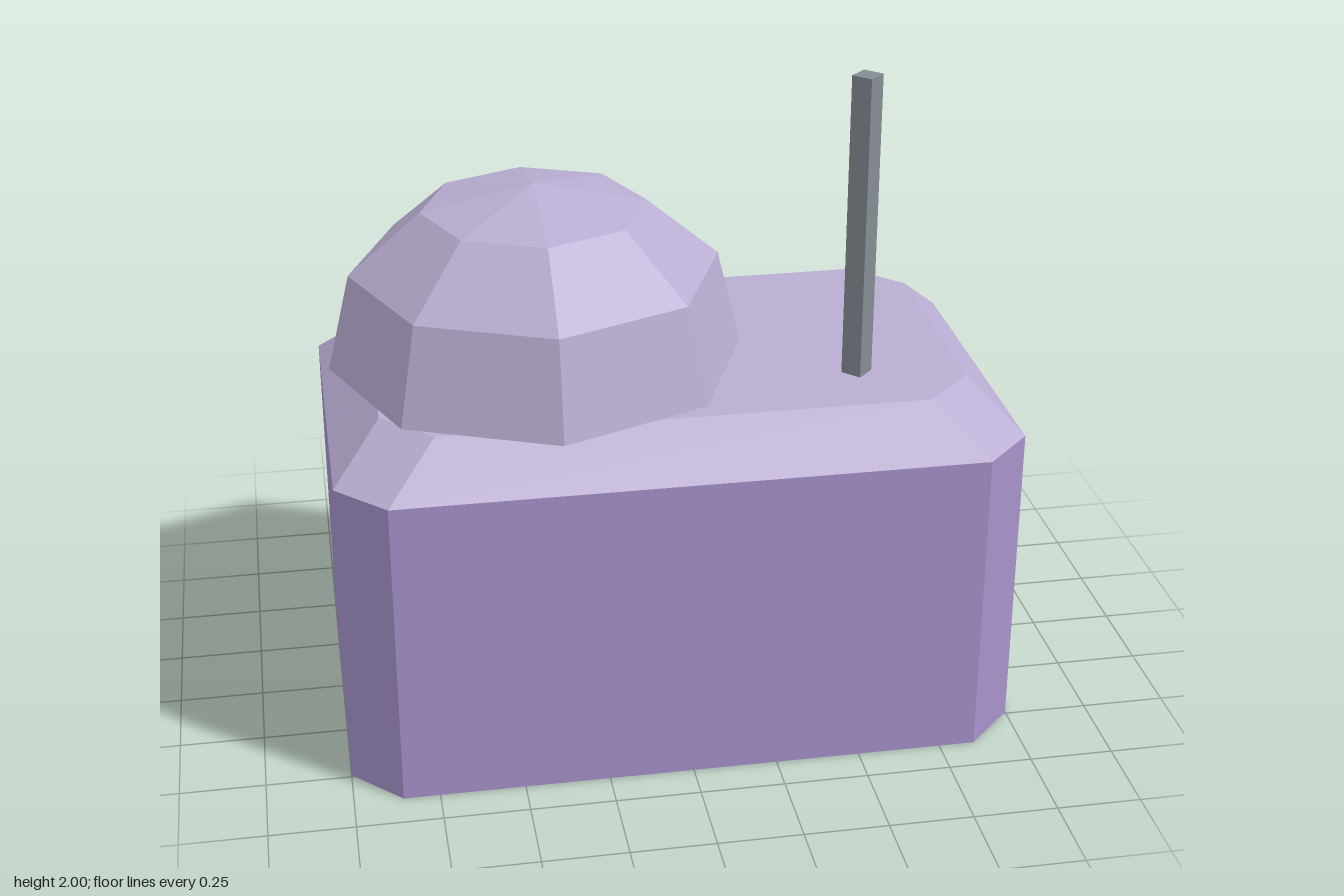
import * as THREE from 'three';

const mat = (name, color) => {
  const m = new THREE.MeshStandardMaterial({ color, flatShading: true });
  m.name = name;
  return m;
};

// Rectangle with cut corners, listed so that faces wind outwards when lofted upwards
function octagon(hx, hz, cut, y) {
  const a = hx - cut, b = hz - cut;
  return [[hx, b], [hx, -b], [a, -hz], [-a, -hz], [-hx, -b], [-hx, b], [-a, hz], [a, hz]]
    .map(([x, z]) => [x, y, z]);
}

// Joins two rings with quads and optionally closes the bottom or top
function loft(lower, upper, capBottom, capTop) {
  const pos = [];
  const tri = (...pts) => pts.forEach((p) => pos.push(...p));
  const n = lower.length;
  for (let i = 0; i < n; i++) {
    const j = (i + 1) % n;
    tri(lower[i], lower[j], upper[j]);
    tri(lower[i], upper[j], upper[i]);
  }
  for (let i = 1; i < n - 1; i++) {
    if (capBottom) tri(lower[0], lower[i + 1], lower[i]);
    if (capTop) tri(upper[0], upper[i], upper[i + 1]);
  }
  const g = new THREE.BufferGeometry();
  g.setAttribute('position', new THREE.Float32BufferAttribute(pos, 3));
  g.computeVertexNormals();
  return g;
}

export function createModel() {
  const group = new THREE.Group();
  const purple = mat('wall purple', 0xa792cc);
  const lilac = mat('roof lilac', 0xb9add2);
  const grey = mat('mast grey', 0x848d93);

  const add = (name, geometry, material) => {
    const mesh = new THREE.Mesh(geometry, material);
    mesh.name = name;
    group.add(mesh);
    return mesh;
  };

  // Walls with cut corners, closed underneath
  const base = octagon(1, 0.635, 0.143, 0);
  const eaves = octagon(1, 0.635, 0.143, 0.95);
  add('walls', loft(base, eaves, true, false), purple);

  // Bevelled flat roof
  const deck = octagon(0.857, 0.492, 0.145, 1.092);
  add('roof', loft(eaves, deck, false, true), lilac);

  // Eight-sided dome overhanging the roof bevel
  const profile = [[0, 1.095], [0.615, 1.095], [0.545, 1.385], [0.33, 1.567], [0, 1.637]]
    .map(([r, y]) => new THREE.Vector2(r, y));
  add('dome', new THREE.LatheGeometry(profile, 8), lilac).position.x = -0.365;

  // Four-sided mast
  add('mast', new THREE.CylinderGeometry(0.045, 0.045, 0.91, 4), grey).position.set(0.545, 1.545, 0.27);

  return group;
}
